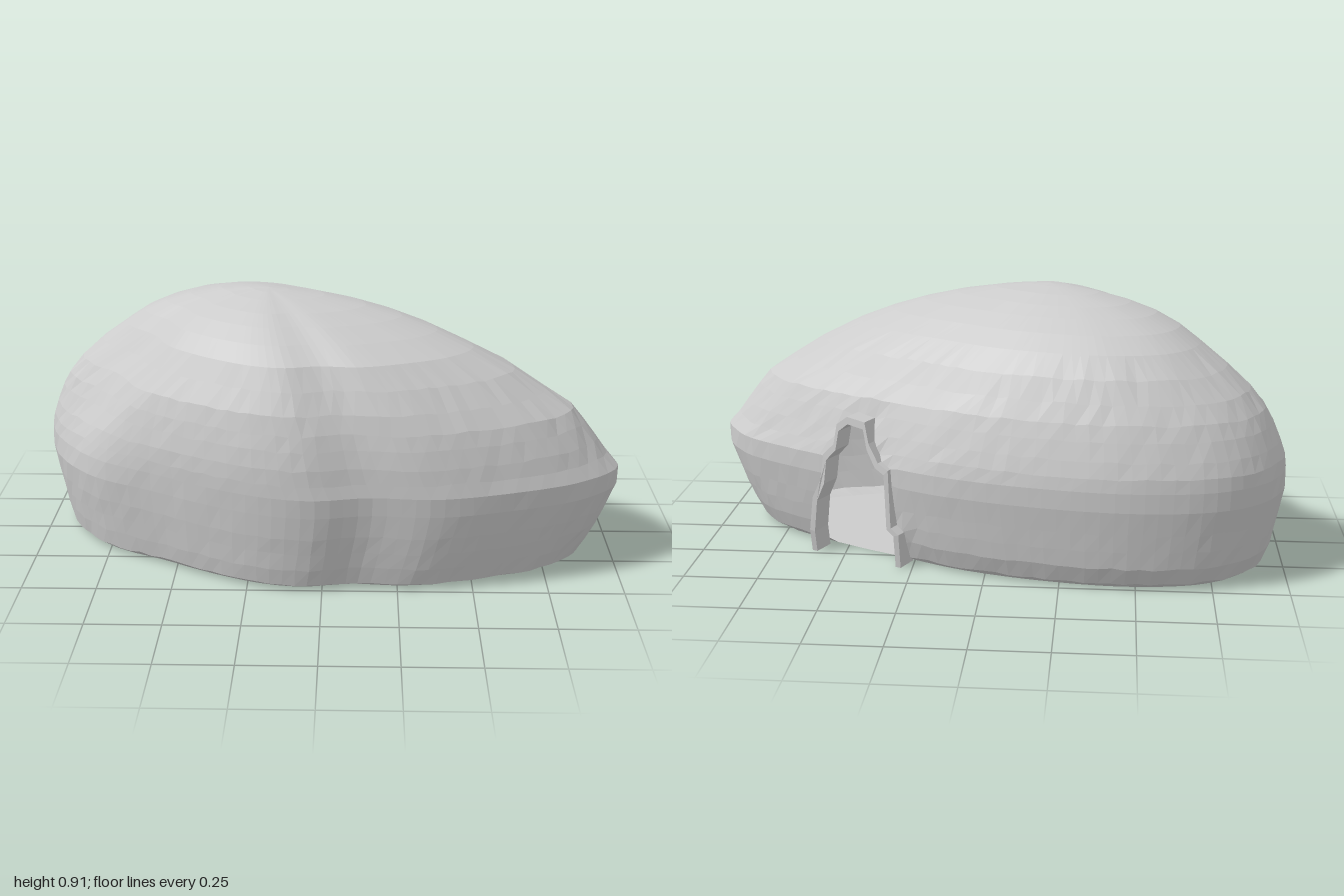
import * as THREE from 'three';

const material = new THREE.MeshStandardMaterial({
  color: 0xcccccc, flatShading: true, side: THREE.DoubleSide,
});
const V = (x, y, z) => new THREE.Vector3(x, y, z);
const { lerp, smoothstep } = THREE.MathUtils;

// Skin a list of equal-length closed loops; skip(centre) leaves a quad open.
function loft(loops, skip) {
  const n = loops[0].length;
  const index = [];
  for (let i = 0; i < loops.length - 1; i++) {
    for (let j = 0; j < n; j++) {
      const k = (j + 1) % n;
      const centre = V(0, 0, 0);
      [loops[i][j], loops[i][k], loops[i + 1][k], loops[i + 1][j]]
        .forEach((c) => centre.addScaledVector(c, 0.25));
      if (skip(centre)) continue;
      const a = i * n + j, b = i * n + k;
      index.push(a, b, b + n, a, b + n, a + n);
    }
  }
  const geometry = new THREE.BufferGeometry().setFromPoints(loops.flat());
  geometry.setIndex(index);
  geometry.computeVertexNormals();
  return geometry;
}

// Widest contour of the boulder, as x, z
const outline = [
  [1, 0.21], [0.9, 0], [0.8, -0.08], [0.6, -0.2], [0.4, -0.3], [0.16, -0.42],
  [-0.15, -0.51], [-0.5, -0.55], [-0.78, -0.5], [-0.93, -0.38], [-1, -0.2],
  [-0.98, -0.08], [-0.93, 0.04], [-0.8, 0.2], [-0.57, 0.33], [-0.4, 0.43],
  [-0.2, 0.52], [-0.03, 0.55], [0.15, 0.52], [0.37, 0.53], [0.6, 0.475], [0.87, 0.36],
];

// Extent of the boulder at each height: y, x min, x max, z min, z max
const levels = [
  [0, -0.91, 0.83, -0.47, 0.47], [0.02, -0.94, 0.88, -0.5, 0.505],
  [0.08, -0.96, 0.915, -0.525, 0.52], [0.14, -0.973, 0.945, -0.533, 0.53],
  [0.2, -0.985, 0.97, -0.54, 0.54], [0.28, -1, 1, -0.55, 0.55],
  [0.345, -1, 1, -0.55, 0.555], [0.39, -0.995, 0.96, -0.545, 0.55],
  [0.44, -0.98, 0.925, -0.53, 0.545], [0.5, -0.955, 0.88, -0.51, 0.533],
  [0.55, -0.93, 0.84, -0.49, 0.52], [0.61, -0.88, 0.745, -0.46, 0.5],
  [0.68, -0.8, 0.64, -0.42, 0.465], [0.75, -0.71, 0.5, -0.365, 0.425],
  [0.8, -0.64, 0.38, -0.3, 0.35], [0.84, -0.56, 0.26, -0.235, 0.28],
  [0.87, -0.47, 0.14, -0.18, 0.22], [0.895, -0.36, 0, -0.105, 0.14],
  [0.908, -0.26, -0.12, -0.02, 0.08],
];

// Repeatable roughness in the range -1 to 1
function rough(i, j) {
  const s = Math.sin(i * 127.1 + j * 311.7) * 43758.5453;
  return 2 * (s - Math.floor(s)) - 1;
}

// Frame of the cave mouth: local x along the wall, local z out of the wall
const mouth = new THREE.Object3D();
mouth.position.set(0.45, 0, -0.285);
mouth.rotation.y = Math.PI - 0.41;
mouth.updateMatrixWorld();

// Craggy arch, and the same arch scaled about its foot
const arch = [
  [-0.18, 0], [-0.18, 0.08], [-0.165, 0.2], [-0.13, 0.27], [-0.12, 0.36], [-0.08, 0.4],
  [-0.07, 0.47], [-0.03, 0.5], [0.04, 0.49], [0.06, 0.42], [0.1, 0.36], [0.14, 0.34],
  [0.15, 0.14], [0.18, 0.12], [0.18, 0],
];
const scaledArch = (s, t) => arch.map(([u, y]) => new THREE.Vector2(u * s, y * t));
const cut = scaledArch(0.94, 0.98);
const cutLine = cut.slice(1).flatMap((p, i) => (
  Array.from({ length: 9 }, (_, k) => cut[i].clone().lerp(p, k / 8))
));

// Is the point inside the cut for the cave mouth?
function insideCut(u, y) {
  let hit = false;
  cut.forEach((a, i) => {
    const b = cut[(i + 1) % cut.length];
    if ((a.y > y) !== (b.y > y) && u < a.x + ((y - a.y) * (b.x - a.x)) / (b.y - a.y)) hit = !hit;
  });
  return hit;
}

// Pull wall points near the edge of the cave mouth onto that edge
function snapToCut(q) {
  const p = mouth.worldToLocal(q.clone());
  if (Math.abs(p.z) > 0.12) return;
  const here = new THREE.Vector2(p.x, p.y);
  let best = cutLine[0];
  for (const c of cutLine) if (c.distanceTo(here) < best.distanceTo(here)) best = c;
  if (best.distanceTo(here) < 0.03) q.copy(mouth.localToWorld(V(best.x, best.y, p.z)));
}

// Hollow boulder, open at the cave mouth
function makeBoulder() {
  const curve = new THREE.CatmullRomCurve3(outline.map(([x, z]) => V(x, 0, z)), true);
  const ring = curve.getSpacedPoints(104).slice(0, 104);
  const loops = levels.map(([y, x0, x1, z0, z1], i) => ring.map((p, j) => {
    const q = V(lerp(x0, x1, (p.x + 1) / 2), y, lerp(z0, z1, (p.z + 0.55) / 1.1));
    const size = (z1 - z0) / 1.1;
    // Shallow valley up the front right-hand corner
    const corner = smoothstep(0.76 * p.z - 0.65 * p.x, 0, 0.4);
    const valley = corner * Math.exp(-(((p.x + p.z + 0.75) / 0.3) ** 2));
    const depth = 0.1 * size * valley * smoothstep(y, 0.25, 0.65);
    q.x += depth * 0.7;
    q.z -= depth * 0.7;
    // Uneven facets, calmer towards the top, and a ragged foot
    const bump = y < 0.7 ? size : 0;
    if (i > 0 && i !== 5 && i !== 6) q.y += 0.004 * bump * rough(i, j);
    q.x += 0.002 * bump * rough(j, i);
    if (i > 0) snapToCut(q);
    return q;
  }));
  loops.unshift(ring.map(() => V(0, 0, 0)));
  loops.push(ring.map(() => V(-0.19, 0.912, 0.03)));
  return loft(loops, (c) => {
    const p = mouth.worldToLocal(c.clone());
    return c.y > 0.001 && Math.abs(p.z) < 0.12 && insideCut(p.x, p.y);
  });
}

// Thin craggy rim around the cave mouth, leaning back with the wall
function makeRim() {
  const inner = scaledArch(0.89, 0.95);
  const shape = new THREE.Shape([...scaledArch(1, 1), ...inner.reverse()]);
  const geometry = new THREE.ExtrudeGeometry(shape, { depth: 0.08, bevelEnabled: false });
  geometry.translate(0, 0, -0.058);
  const pos = geometry.attributes.position;
  for (let i = 0; i < pos.count; i++) {
    const y = pos.getY(i);
    const lean = 0.12 * Math.max(0, y - 0.3) + 0.15 * Math.max(0, 0.08 - y);
    pos.setZ(i, pos.getZ(i) - lean);
  }
  geometry.computeVertexNormals();
  return geometry;
}

export function createModel() {
  const model = new THREE.Group();
  model.name = 'caveBoulder';

  const boulder = new THREE.Mesh(makeBoulder(), material);
  boulder.name = 'boulder';

  const rim = new THREE.Mesh(makeRim(), material);
  rim.name = 'entranceRim';
  rim.position.copy(mouth.position);
  rim.rotation.copy(mouth.rotation);

  model.add(boulder, rim);
  return model;
}
